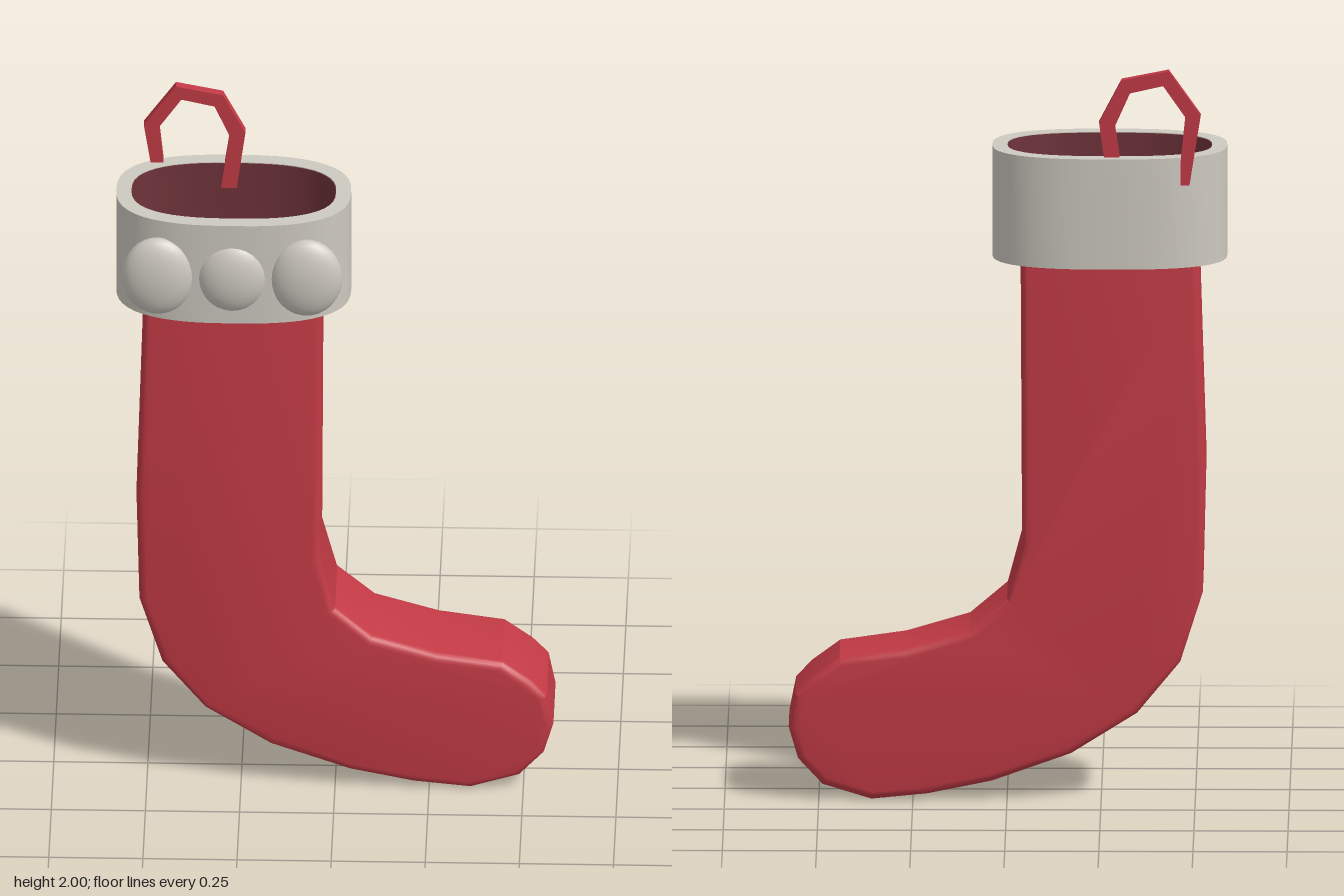
import * as THREE from 'three';
import { toCreasedNormals } from 'three/addons/utils/BufferGeometryUtils.js';

const CX = -0.272, CZ = -0.015;
const CUFF_BOTTOM = 1.465, CUFF_TOP = 1.765;

const material = (name, color, side = THREE.FrontSide) => {
  const m = new THREE.MeshStandardMaterial({ color, side });
  m.name = name;
  return m;
};

const shapeOf = (pts) => new THREE.Shape(pts.map(([x, y]) => new THREE.Vector2(x, y)));

// Rounded oval outline (superellipse) around the origin
function oval(rx, rz, n = 48, power = 2.6) {
  const pts = [];
  for (let i = 0; i < n; i++) {
    const a = (i / n) * Math.PI * 2;
    const c = Math.cos(a), s = Math.sin(a);
    pts.push([
      rx * Math.sign(c) * Math.abs(c) ** (2 / power),
      rz * Math.sign(s) * Math.abs(s) ** (2 / power),
    ]);
  }
  return pts;
}

// Upright oval ring from y0 to y1
function ovalRing(outer, inner, y0, y1) {
  const shape = shapeOf(oval(...outer));
  shape.holes.push(shapeOf(oval(...inner)));
  const g = new THREE.ExtrudeGeometry(shape, { depth: y1 - y0, bevelEnabled: false });
  g.rotateX(-Math.PI / 2).translate(CX, y0, CZ);
  return toCreasedNormals(g, 0.25);
}

export function createModel() {
  const group = new THREE.Group();
  const red = material('red felt', 0xc23a45);
  const lining = material('dark red lining', 0x6e333a, THREE.DoubleSide);
  const trim = material('off-white trim', 0xcdc9c0);

  const add = (name, geometry, mat) => {
    const mesh = new THREE.Mesh(geometry, mat);
    mesh.name = name;
    group.add(mesh);
    return mesh;
  };

  // Stocking body: side outline with softly bevelled edges
  const body = shapeOf([
    [-0.51, 1.48], [-0.528, 0.9], [-0.52, 0.57], [-0.46, 0.38], [-0.345, 0.24],
    [-0.17, 0.13], [0.04, 0.055], [0.21, 0.02], [0.36, 0.005], [0.49, 0.045],
    [0.555, 0.115], [0.58, 0.2], [0.562, 0.29], [0.52, 0.335], [0.445, 0.39],
    [0.27, 0.415], [0.1, 0.465], [0, 0.55], [-0.04, 0.7], [-0.036, 1.48],
  ]);
  const bevel = 0.022;
  const bodyGeo = new THREE.ExtrudeGeometry(body, {
    depth: 0.255 - 2 * bevel, bevelSize: bevel, bevelThickness: bevel,
    bevelOffset: -bevel, bevelSegments: 4,
  });
  bodyGeo.translate(0, 0, -0.14 + bevel);
  add('stockingBody', toCreasedNormals(bodyGeo, 0.45), red);

  // Hollow cuff with a dark lining and floor
  add('cuff', ovalRing([0.312, 0.187], [0.272, 0.147], CUFF_BOTTOM, CUFF_TOP), trim);
  add('cuffLining', ovalRing([0.2725, 0.1475], [0.27, 0.145], CUFF_BOTTOM + 0.005, CUFF_TOP - 0.002), lining);
  const floor = new THREE.ShapeGeometry(shapeOf(oval(0.272, 0.147)));
  floor.rotateX(-Math.PI / 2).translate(CX, 1.49, CZ);
  add('cuffFloor', floor, lining);

  // Flattened pompoms across the front of the cuff
  for (const [x, rx, ry] of [[-0.47, 0.096, 0.115], [CX, 0.093, 0.104], [-0.075, 0.096, 0.115]]) {
    const pompom = add('pompom', new THREE.SphereGeometry(1, 24, 16), trim);
    pompom.scale.set(rx, ry, 0.044);
    pompom.position.set(x, 1.6, 0.155);
  }

  // Angular hanging loop at the back of the cuff
  const loop = shapeOf([
    [-0.485, 1.69], [-0.515, 1.88], [-0.43, 2], [-0.305, 1.975], [-0.245, 1.86], [-0.268, 1.69],
    [-0.31, 1.69], [-0.287, 1.85], [-0.327, 1.94], [-0.415, 1.96], [-0.474, 1.875], [-0.455, 1.69],
  ]);
  const loopGeo = new THREE.ExtrudeGeometry(loop, { depth: 0.025, bevelEnabled: false });
  loopGeo.translate(0, 0, -0.18);
  add('hangingLoop', loopGeo, red);

  return group;
}
